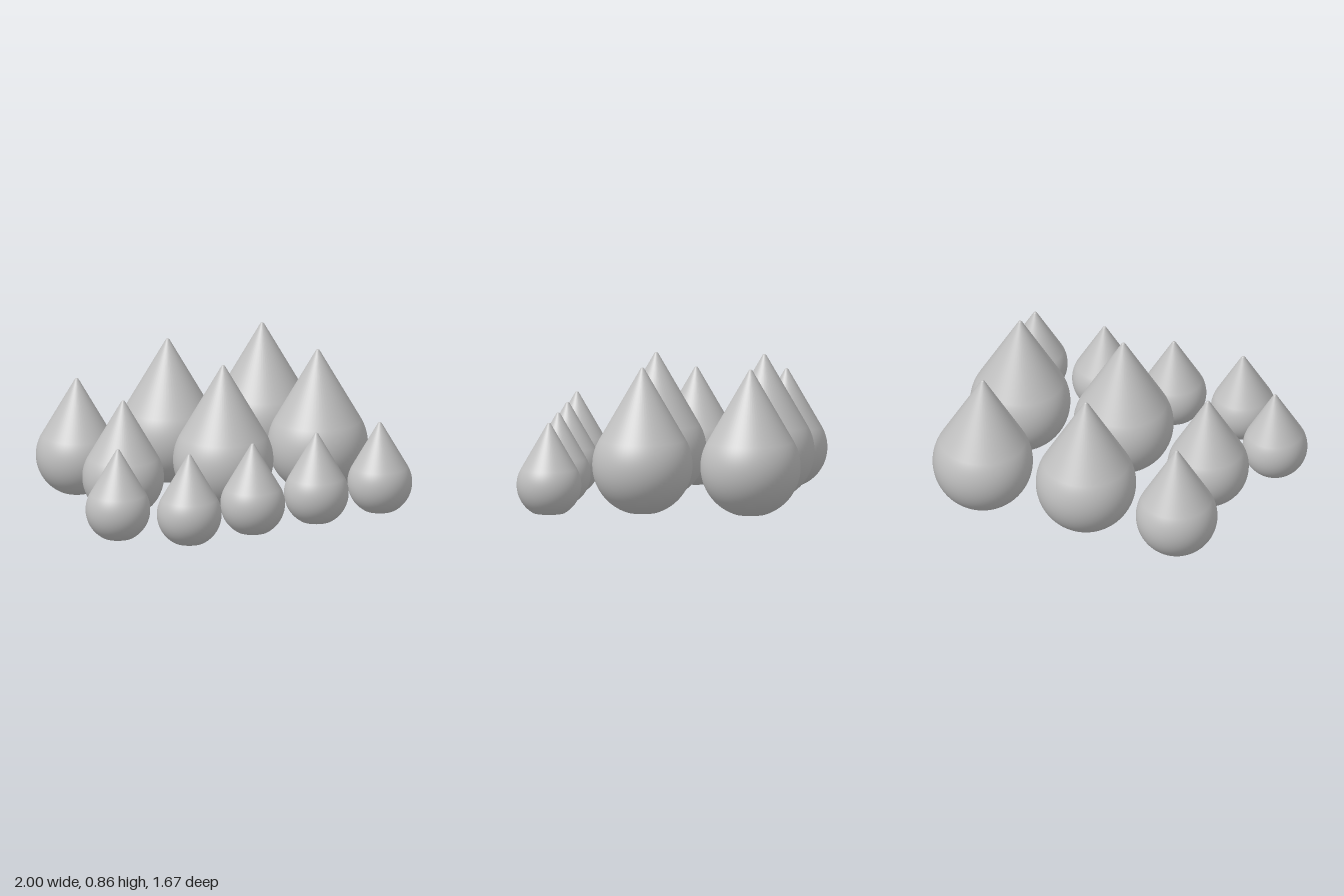
import * as THREE from 'three';
import { toCreasedNormals } from 'three/addons/utils/BufferGeometryUtils.js';

const SEGMENTS = 64;
const HOLE = 0.093; // radius of the flat cut under every drop
const BORE = 0.075; // radius of the socket
const TIP = 0.013; // radius of the rounded point

// Sphere that runs tangent into a 60 degree cone with a small round tip
function dropGeometry(r) {
  const cy = Math.sqrt(r * r - HOLE * HOLE);
  const tipY = cy + 2 * r - 2 * TIP;
  const points = [];
  const arc = (radius, y, from, to, n) => {
    for (let i = 0; i <= n; i++) {
      const a = from + ((to - from) * i) / n;
      points.push(new THREE.Vector2(Math.max(0, radius * Math.cos(a)), y + radius * Math.sin(a)));
    }
  };
  arc(r, cy, -Math.acos(HOLE / r), Math.PI / 6, 32);
  arc(TIP, tipY, Math.PI / 6, Math.PI / 2, 6);
  return new THREE.LatheGeometry(points, SEGMENTS);
}

// Blind hole with a flat rim and a shallow conical end
function socketGeometry() {
  const points = [[0, 0.1], [BORE, 0.07], [BORE, 0], [HOLE, 0]].map(([x, y]) => new THREE.Vector2(x, y));
  return toCreasedNormals(new THREE.LatheGeometry(points, SEGMENTS), 0.3);
}

export function createModel() {
  const model = new THREE.Group();
  model.name = 'dropSet';
  const grey = new THREE.MeshStandardMaterial({ color: 0xc0c0c0 });
  grey.name = 'grey';

  const sizes = [
    { name: 'largeDrop', r: 0.296, at: [[0.055, -0.541], [0.703, -0.541], [0.055, 0.102], [0.703, 0.102]] },
    { name: 'mediumDrop', r: 0.241, at: [[-0.535, -0.597], [-0.535, -0.06]] },
    { name: 'smallDrop', r: 0.191, at: [[-0.809, 0.342], [-0.499, 0.644], [-0.064, 0.644], [0.372, 0.644], [0.807, 0.644]] },
  ];
  const socket = socketGeometry();

  for (const { name, r, at } of sizes) {
    const body = dropGeometry(r);
    at.forEach(([x, z], i) => {
      const drop = new THREE.Group();
      drop.name = name + (i + 1);
      const shell = new THREE.Mesh(body, grey);
      shell.name = 'dropBody';
      const hole = new THREE.Mesh(socket, grey);
      hole.name = 'baseSocket';
      drop.add(shell, hole);
      drop.position.set(x, 0, z);
      model.add(drop);
    });
  }
  return model;
}
